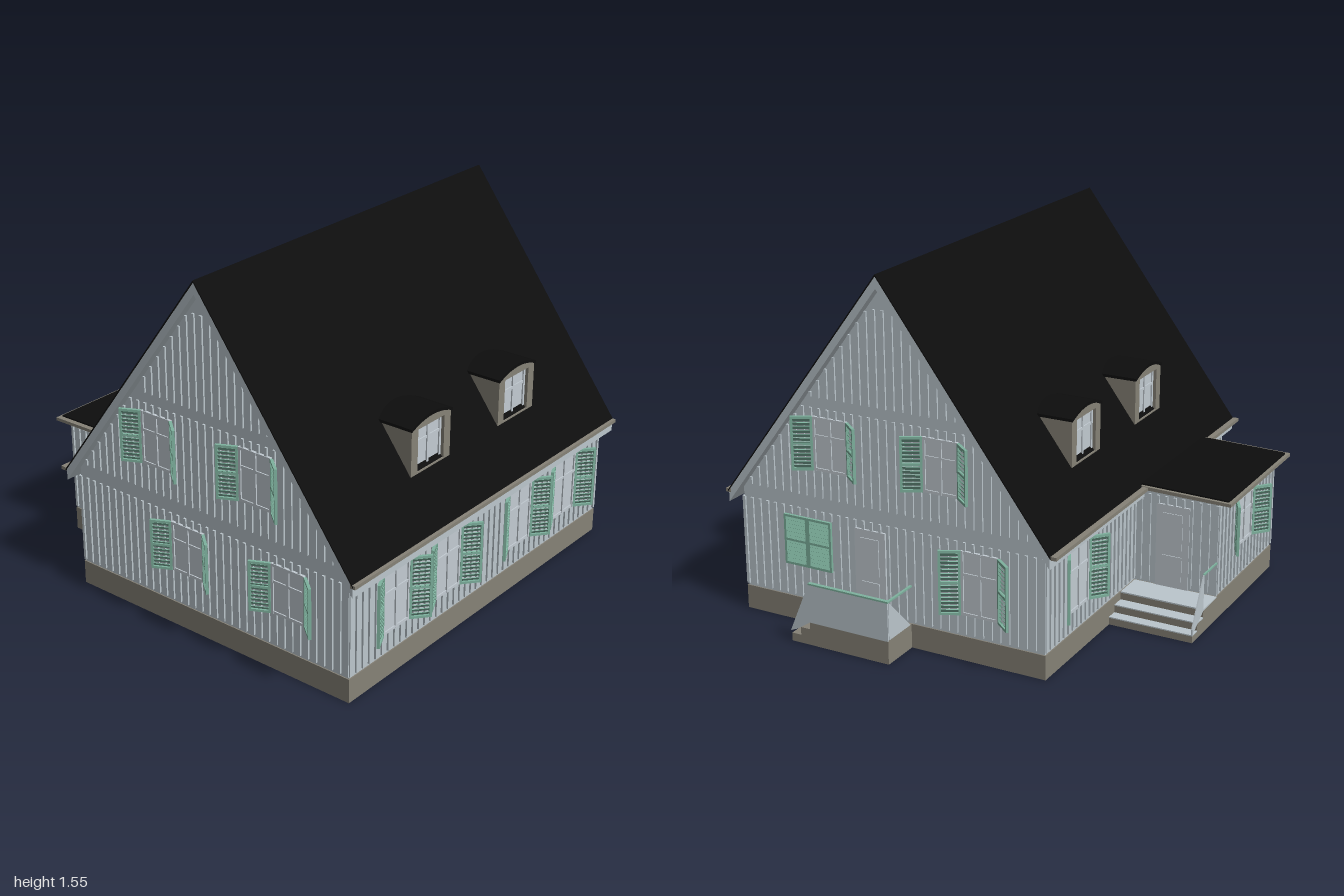
import * as THREE from 'three';

const mat = (name, color, side = THREE.FrontSide) => {
  const m = new THREE.MeshStandardMaterial({ color, side });
  m.name = name;
  return m;
};

export function createModel() {
  const wall = mat('pale blue boards', 0xbcc7cd);
  const trim = mat('window white', 0xc3ccd3);
  const stone = mat('warm grey plinth', 0x868277);
  const green = mat('shutter green', 0x7fb39f);
  const black = mat('black roof', 0x0d0d0d);

  const house = new THREE.Group();
  house.name = 'house';

  const add = (parent, name, geo, material, x = 0, y = 0, z = 0) => {
    const m = new THREE.Mesh(geo, material);
    m.name = name;
    m.position.set(x, y, z);
    parent.add(m);
    return m;
  };
  // box given by its minimum and maximum corners
  const box = (parent, name, material, x0, x1, y0, y1, z0, z1) =>
    add(parent, name, new THREE.BoxGeometry(x1 - x0, y1 - y0, z1 - z0), material,
      (x0 + x1) / 2, (y0 + y1) / 2, (z0 + z1) / 2);
  const shapeOf = (pts) => new THREE.Shape(pts.map(([a, b]) => new THREE.Vector2(a, b)));
  const extrude = (shape, depth) =>
    new THREE.ExtrudeGeometry(shape, { depth, bevelEnabled: false, curveSegments: 10 });
  // [z, y] profile drawn out along x
  const profile = (name, pts, x0, x1, material) => {
    const geo = extrude(shapeOf(pts.map(([z, y]) => [-z, y])), x1 - x0);
    geo.rotateY(Math.PI / 2);
    add(house, name, geo, material, x0, 0, 0);
  };

  const RZ = 0.19, SLOPE = 1.34;
  const roofY = (z, top) => top - SLOPE * Math.abs(z - RZ);

  // plinth and wall bodies
  box(house, 'plinth', stone, -0.94, 0.82, 0, 0.105, -0.525, 0.9);
  box(house, 'annexPlinth', stone, -0.63, 0, 0, 0.105, -0.9, -0.5);
  profile('mainWalls', [[0.895, 0.105], [0.895, 0.55], [RZ, 1.5], [-0.52, 0.55], [-0.52, 0.105]],
    -0.935, 0.815, wall);
  box(house, 'annexWalls', wall, -0.625, -0.005, 0.105, 0.53, -0.895, -0.5);

  // pitched roof: pale slab with a black skin
  const chevron = (top, bottom, r) => [
    [RZ + r, roofY(RZ + r, top)], [RZ, top], [RZ - r, roofY(RZ - r, top)],
    [RZ - r, roofY(RZ - r, bottom)], [RZ, bottom], [RZ + r, roofY(RZ + r, bottom)]];
  profile('roofSlab', chevron(1.545, 1.495, 0.75), -0.975, 0.858, wall);
  profile('roofCovering', chevron(1.552, 1.544, 0.755), -0.978, 0.86, black);
  box(house, 'frontGutter', stone, -0.978, 0.86, 0.532, 0.547, 0.93, 0.955);
  box(house, 'backGutter', stone, 0.02, 0.86, 0.532, 0.547, -0.59, -0.565);
  box(house, 'backGutter', stone, -0.978, -0.64, 0.532, 0.547, -0.59, -0.565);

  // almost flat annex roof
  profile('annexRoof', [[-0.53, 0.535], [-0.53, 0.55], [-0.96, 0.541], [-0.96, 0.527]],
    -0.66, 0.03, stone);
  profile('annexRoofCovering', [[-0.53, 0.55], [-0.53, 0.557], [-0.945, 0.548], [-0.945, 0.54]],
    -0.637, 0.015, black);

  // one louvred shutter leaf running along +x from its hinge
  const leaf = (w, h, tilt) => {
    const g = new THREE.Group();
    g.name = 'shutter';
    const t = 0.006, b = 0.01;
    box(g, 'shutterStile', green, 0, b, 0, h, -t, t);
    box(g, 'shutterStile', green, w - b, w, 0, h, -t, t);
    for (const y of [0, h / 2 - b / 2, h - b]) box(g, 'shutterRail', green, b, w - b, y, y + b, -t, t);
    const n = Math.round(h / 0.017);
    for (let i = 1; i < n; i++) {
      const s = add(g, 'slat', new THREE.BoxGeometry(w - 2 * b, 0.017, 0.003), green,
        w / 2, (i * h) / n, 0);
      s.rotation.x = tilt;
    }
    return g;
  };

  // facade frame: x along the wall, y up, z outwards
  const facade = (name, x, z, turn) => {
    const g = new THREE.Group();
    g.name = name;
    g.position.set(x, 0, z);
    g.rotation.y = turn;
    house.add(g);
    return g;
  };
  const windowAt = (f, x0, x1, y0, y1) => {
    const m = (x0 + x1) / 2, c = y0 + (y1 - y0) * 0.62, b = 0.012;
    box(f, 'windowPane', trim, x0, x1, y0, y1, -0.006, 0.001);
    for (const x of [x0, m - b / 2, x1 - b]) box(f, 'windowUpright', trim, x, x + b, y0, y1, 0, 0.007);
    for (const y of [y0, c, y1 - b]) box(f, 'windowBar', trim, x0, x1, y, y + b, 0, 0.006);
  };
  const shutters = (f, x0, x1, y0, y1) => {
    for (const [x, dx, dz, tilt] of [[x0, -0.08, 0.04, -0.6], [x1, 0.07, 0.058, 0.6]]) {
      const s = leaf(Math.hypot(dx, dz), y1 - y0, tilt);
      s.position.set(x, y0, 0.004);
      s.rotation.y = -Math.atan2(dz, dx);
      f.add(s);
    }
  };
  const doorAt = (f, x0, x1) => {
    box(f, 'door', trim, x0, x1, 0.105, 0.475, -0.006, 0.004);
    box(f, 'doorPanel', trim, x0 + 0.03, x1 - 0.03, 0.14, 0.25, 0, 0.008);
    box(f, 'doorPanel', trim, x0 + 0.03, x1 - 0.03, 0.28, 0.44, 0, 0.008);
  };
  // vertical cover strips, interrupted by openings [x0, x1, y0, y1]
  const battens = (f, x0, x1, y0, y1, holes, topAt = () => 9) => {
    const n = Math.round((x1 - x0) / 0.04);
    for (let i = 0; i <= n; i++) {
      const x = x0 + 0.008 + ((x1 - x0 - 0.016) * i) / n;
      const top = Math.min(y1, topAt(x));
      let y = y0;
      const put = (a, b) => b - a > 0.015 && box(f, 'batten', wall, x - 0.006, x + 0.006, a, b, -0.006, 0.003);
      for (const [a, b, c, d] of holes.filter((h) => x > h[0] - 0.006 && x < h[1] + 0.006 && h[2] < top && h[3] > y0)) {
        put(y, c);
        y = d;
      }
      put(y, top);
    }
  };
  const dress = (f, windows) => windows.forEach((w) => { windowAt(f, ...w); shutters(f, ...w); });

  // front wall
  const front = facade('frontFacade', 0, 0.9, 0);
  const frontWins = [-0.74, -0.4, 0.11, 0.455].map((x) => [x, x + 0.168, 0.2, 0.475]);
  dress(front, frontWins);
  battens(front, -0.94, 0.82, 0.115, 0.51, frontWins);

  // gable on the +x side, where local x is -z
  const upper = (s) => [[-0.53, -0.365], [-0.015, 0.145]].map(([a, b]) =>
    (s > 0 ? [a, b, 0.69, 0.92] : [-b, -a, 0.69, 0.92]));
  const gableBattens = (f, s, holes) => {
    const top = (x) => roofY(-s * x, 1.49);
    const [a, b] = s > 0 ? [-0.9, 0.525] : [-0.525, 0.9];
    battens(f, a, b, 0.115, 0.51, holes);
    battens(f, a, b, 0.57, 0.955, holes, top);
    battens(f, a, b, 1.0, 1.4, holes, top);
  };
  const left = facade('stairGable', 0.82, 0, Math.PI / 2);
  const leftWins = [...upper(1), [0.15, 0.32, 0.2, 0.475]];
  dress(left, leftWins);
  doorAt(left, -0.345, -0.2);
  gableBattens(left, 1, [...leftWins, [-0.345, -0.2, 0.1, 0.475], [-0.685, -0.455, 0.255, 0.475]]);
  for (const x of [-0.685, -0.57]) { // closed pair
    const s = leaf(0.115, 0.22, -0.6);
    s.position.set(x, 0.255, 0.008);
    left.add(s);
  }

  // opposite gable, where local x is z
  const right = facade('plainGable', -0.94, 0, -Math.PI / 2);
  const rightWins = [...upper(-1), [0, 0.17, 0.255, 0.475], [0.52, 0.69, 0.255, 0.475]];
  dress(right, rightWins);
  gableBattens(right, -1, rightWins);

  // back walls, where local x is -x
  const back = facade('backFacade', 0, -0.525, Math.PI);
  const backWins = [[-0.63, -0.455, 0.2, 0.475]];
  dress(back, backWins);
  battens(back, -0.82, 0, 0.115, 0.51, backWins);
  battens(back, 0.64, 0.94, 0.115, 0.51, []);
  const annexBack = facade('annexBack', 0, -0.9, Math.PI);
  const annexWins = [[0.19, 0.365, 0.255, 0.475]];
  dress(annexBack, annexWins);
  battens(annexBack, 0, 0.63, 0.115, 0.51, annexWins);
  const annexDoorSide = facade('annexDoorSide', 0, 0, Math.PI / 2);
  doorAt(annexDoorSide, 0.62, 0.77);
  battens(annexDoorSide, 0.54, 0.9, 0.115, 0.51, [[0.62, 0.77, 0.1, 0.475]]);
  battens(facade('annexPlainSide', -0.63, 0, -Math.PI / 2), -0.9, -0.54, 0.115, 0.51, []);

  // dormers on both slopes
  const W = 0.128;
  const arch = (grow, low) => {
    const s = new THREE.Shape();
    s.moveTo(-W - grow, low);
    s.lineTo(W + grow, low);
    s.lineTo(W + grow, 0.925 + grow);
    s.quadraticCurveTo(0, 0.985 + grow, -W - grow, 0.925 + grow);
    s.closePath();
    return s;
  };
  for (const side of [1, -1]) for (const x of [-0.315, 0.28]) {
    const g = facade('dormer', x, RZ, side > 0 ? 0 : Math.PI);
    add(g, 'dormerBody', extrude(arch(0, 0.73), 0.35), stone, 0, 0, 0.24);
    const face = arch(0, 0.73);
    face.holes.push(new THREE.Path([[-0.086, 0.736], [-0.086, 0.92], [0.086, 0.92], [0.086, 0.736]]
      .map(([a, b]) => new THREE.Vector2(a, b))));
    add(g, 'dormerFrame', extrude(face, 0.025), stone, 0, 0, 0.59);
    const pane = new THREE.Group();
    pane.name = 'dormerWindow';
    pane.position.z = 0.594;
    g.add(pane);
    windowAt(pane, -0.086, 0.086, 0.736, 0.92);
    // curved roof strip
    const strip = new THREE.Shape();
    strip.moveTo(-W - 0.006, 0.925);
    strip.quadraticCurveTo(0, 0.986, W + 0.006, 0.925);
    strip.lineTo(W + 0.006, 0.937);
    strip.quadraticCurveTo(0, 1.0, -W - 0.006, 0.937);
    add(g, 'dormerRoof', extrude(strip, 0.42), black, 0, 0, 0.2);
  }

  // side entrance: landing, steps and parapet
  box(house, 'landing', stone, 0.82, 0.995, 0, 0.105, 0.085, 0.46);
  box(house, 'step', stone, 0.82, 0.995, 0, 0.07, 0.46, 0.505);
  box(house, 'step', stone, 0.82, 0.995, 0, 0.035, 0.505, 0.55);
  profile('parapet', [[0.085, 0.1], [0.085, 0.27], [0.46, 0.27], [0.555, 0.045], [0.52, 0.06], [0.46, 0.1]],
    0.987, 0.996, wall);
  add(house, 'parapetEnd', extrude(shapeOf([[0.83, 0.105], [0.99, 0.105], [0.99, 0.27]]), 0.008),
    wall, 0, 0, 0.083);
  box(house, 'handrail', green, 0.984, 1, 0.268, 0.275, 0.08, 0.46);
  box(house, 'handrail', green, 0.82, 0.99, 0.268, 0.275, 0.08, 0.09);

  // back entrance: landing, steps and side panel
  box(house, 'backLanding', stone, 0, 0.14, 0, 0.1, -0.9, -0.525);
  box(house, 'backLandingTop', wall, 0, 0.14, 0.1, 0.106, -0.9, -0.525);
  [[0.14, 0.2, 0.07], [0.2, 0.25, 0.035]].forEach(([a, b, h]) => {
    box(house, 'backStep', stone, a, b, 0, h - 0.005, -0.9, -0.525);
    box(house, 'backStepTop', wall, a, b, h - 0.005, h, -0.9, -0.525);
  });
  add(house, 'backPanel', extrude(shapeOf([[0.14, 0.1], [0.25, 0.035], [0.25, 0.06], [0.14, 0.26]]), 0.006),
    wall, 0, 0, -0.9);
  box(house, 'backRail', green, 0, 0.14, 0.255, 0.262, -0.9, -0.893);
  return house;
}
